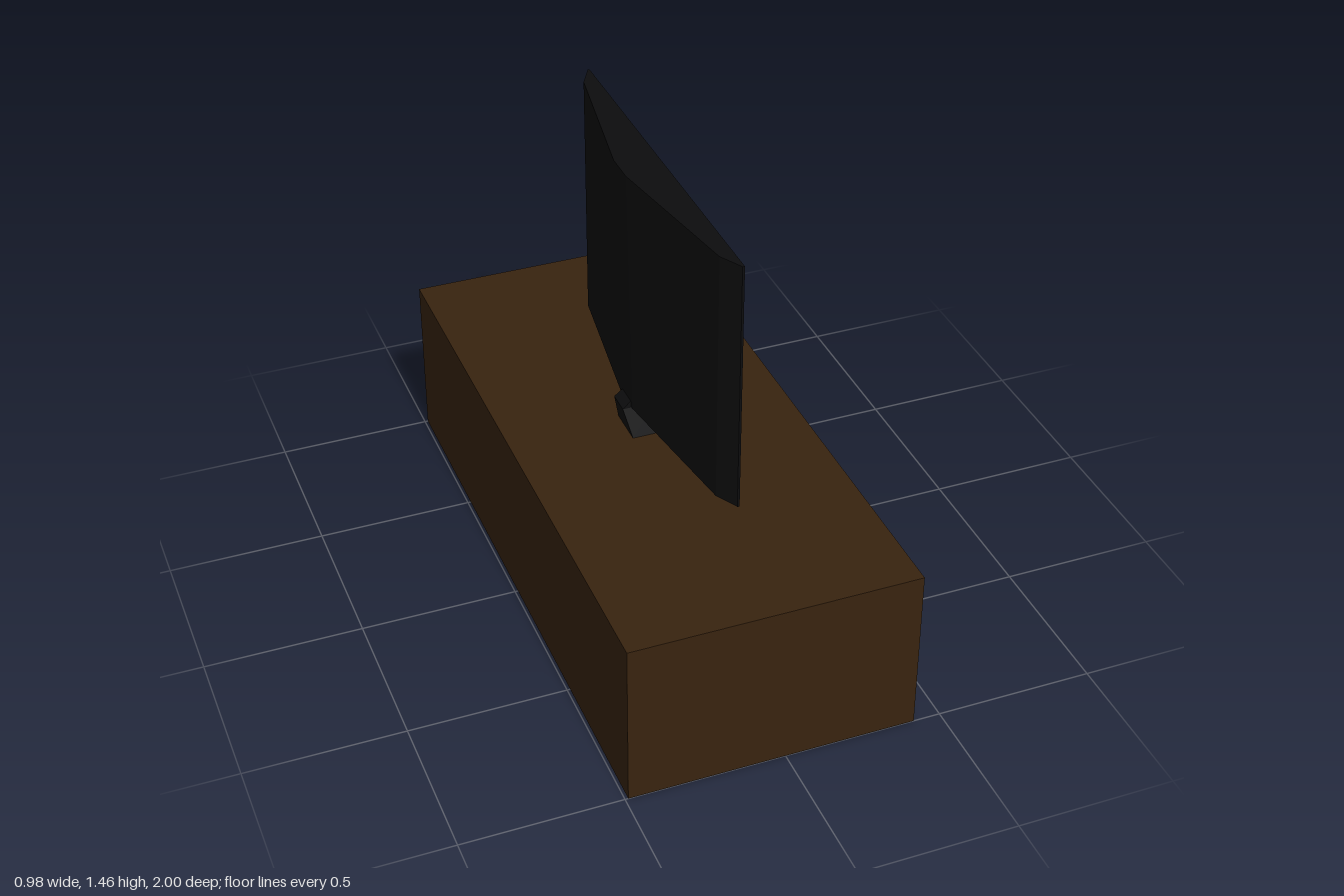
import * as THREE from 'three';

const mat = (name, color, extra = {}) =>
  Object.assign(new THREE.MeshStandardMaterial({ color, ...extra }), { name });

// Faceted solid through matching rings of [x, y, z] points, counterclockwise seen from the last ring's end
function loft(rings) {
  const pos = [];
  const tri = (a, b, c) => pos.push(...a, ...b, ...c);
  const n = rings[0].length;
  for (let r = 0; r + 1 < rings.length; r++) {
    const a = rings[r], b = rings[r + 1];
    for (let i = 0; i < n; i++) {
      const j = (i + 1) % n;
      tri(a[i], a[j], b[j]);
      tri(a[i], b[j], b[i]);
    }
  }
  const first = rings[0], last = rings[rings.length - 1];
  for (let i = 1; i + 1 < n; i++) {
    tri(last[0], last[i], last[i + 1]);
    tri(first[0], first[i + 1], first[i]);
  }
  const g = new THREE.BufferGeometry();
  g.setAttribute('position', new THREE.Float32BufferAttribute(pos, 3));
  g.computeVertexNormals();
  return g;
}

export function createModel() {
  const root = new THREE.Group();
  root.name = 'televisionOnCabinet';
  const wood = mat('darkWood', 0x38230f);
  const gap = mat('gapBrown', 0x1e1308);
  const black = mat('blackPlastic', 0x0d0d0e);

  const add = (name, geo, material, parent = root) => {
    const m = new THREE.Mesh(geo, material);
    m.name = name;
    parent.add(m);
    return m;
  };
  const box = (name, x0, x1, y0, y1, z0, z1, material, parent) =>
    add(name, new THREE.BoxGeometry(x1 - x0, y1 - y0, z1 - z0), material, parent)
      .position.set((x0 + x1) / 2, (y0 + y1) / 2, (z0 + z1) / 2);

  // Cabinet body, with the line between the drawers
  box('cabinetBody', -0.49, 0.415, 0, 0.545, -1, 1, wood);
  box('drawerGap', 0.413, 0.417, 0.231, 0.24, -0.995, 0.995, gap);

  // Drawers: bevelled front with a shallow recessed panel, and an arched pull
  const panel = (x, hy, hz) => [[x, -hy, -hz], [x, hy, -hz], [x, hy, hz], [x, -hy, hz]];
  const arch = new THREE.CatmullRomCurve3([
    [0.425, -0.088], [0.445, -0.083], [0.466, -0.055], [0.479, 0],
    [0.466, 0.055], [0.445, 0.083], [0.425, 0.088],
  ].map(([x, z]) => new THREE.Vector3(x, 0, z)));
  [['lower', 0.125], ['upper', 0.415]].forEach(([level, y]) => {
    const drawer = new THREE.Group();
    drawer.name = level + 'Drawer';
    drawer.position.y = y;
    root.add(drawer);
    add('drawerFront', loft([
      panel(0.41, 0.112, 0.998), panel(0.416, 0.108, 0.995), panel(0.426, 0.073, 0.972),
      panel(0.426, 0.062, 0.961), panel(0.42, 0.058, 0.957),
    ]), wood, drawer);
    const bar = new THREE.TubeGeometry(arch, 32, 0.006, 8);
    bar.scale(1, 1.7, 1);
    add('handleBar', bar, black, drawer);
    for (const s of [-1, 1]) {
      const foot = new THREE.CylinderGeometry(0.011, 0.014, 0.02, 12);
      foot.rotateZ(-Math.PI / 2);
      add('handleFoot', foot, black, drawer).position.set(0.428, 0, s * 0.087);
    }
  });

  // Television shell: wedge-shaped back, a little deeper at the top
  const shell = (y, depth, lift) => [
    [-0.006, y, 0.622], [-0.006, y, -0.622], [-0.045, y, -0.55],
    [-depth, y + lift, -0.05], [-depth, y + lift, 0.05], [-0.045, y, 0.55],
  ];
  const tv = new THREE.Group();
  tv.name = 'television';
  root.add(tv);
  add('televisionBack', loft([shell(0.645, 0.116, 0), shell(1.46, 0.131, 0.004)]), black, tv);
  box('screen', -0.007, -0.002, 0.655, 1.45, -0.612, 0.612, black, tv);

  // Narrow bezel around the screen
  for (const s of [-1, 1]) {
    box('bezelSide', -0.007, 0, 0.645, 1.46, s * 0.616 - 0.006, s * 0.616 + 0.006, black, tv);
    const y = 1.0525 + s * 0.4025;
    box('bezelEdge', -0.007, 0, y - 0.005, y + 0.005, -0.622, 0.622, black, tv);
  }

  // Leaning stand, turned in under the back of the television
  const rect = (x0, y0, x1, y1, hz) =>
    [[x1, y1, hz], [x1, y1, -hz], [x0, y0, -hz], [x0, y0, hz]];
  add('stand', loft([
    rect(-0.12, 0.544, -0.008, 0.544, 0.065),
    rect(-0.143, 0.642, -0.038, 0.642, 0.038),
    rect(-0.112, 0.668, -0.025, 0.675, 0.036),
  ]), black, tv);

  return root;
}
